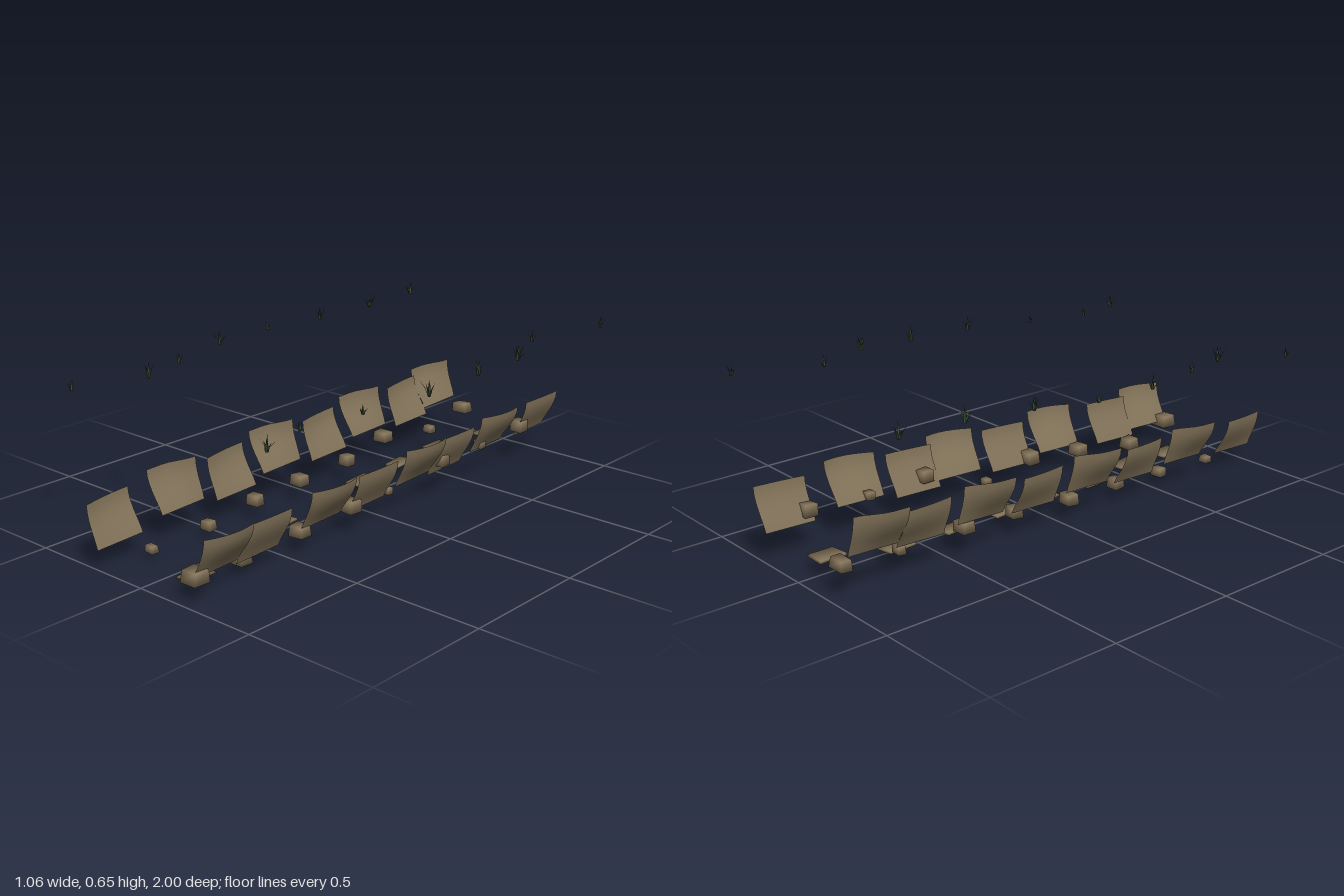
import * as THREE from 'three';
import { mergeVertices } from 'three/addons/utils/BufferGeometryUtils.js';

const mat = (name, color, side = THREE.FrontSide) => {
  const m = new THREE.MeshStandardMaterial({ color, side });
  m.name = name;
  return m;
};

// Small seeded generator for irregular stones and blades
let seed = 7;
const rand = () => (seed = (seed * 16807) % 2147483647) / 2147483647;
const jitter = (a) => (rand() * 2 - 1) * a;

// Curved sheet of earth: steep at the top, flaring towards the ditch
function bankPanel(side, z0, foot, baseY, depthAt) {
  const g = new THREE.PlaneGeometry(1, 1, 6, 6);
  const p = g.attributes.position;
  for (let i = 0; i < p.count; i++) {
    const u = p.getX(i) + 0.5, t = Math.max(0, p.getY(i) + 0.5);
    const x = foot + depthAt(u) * Math.sin(t * Math.PI / 2) ** 1.25;
    p.setXYZ(i, side * x, baseY - 0.031 * (z0 + 0.2 * u) + 0.152 * t, z0 + 0.2 * u);
  }
  g.computeVertexNormals();
  return g;
}

// Irregular block with a tapered top, its corners shaded as if rounded
function stone(w, h, d, taper, rough) {
  let g = new THREE.BoxGeometry(w, h, d);
  g.deleteAttribute('normal');
  g.deleteAttribute('uv');
  g = mergeVertices(g);
  const p = g.attributes.position;
  const normals = [];
  for (let i = 0; i < p.count; i++) {
    const [x, y, z] = [p.getX(i), p.getY(i), p.getZ(i)];
    const k = y > 0 ? taper : 1;
    const n = new THREE.Vector3(Math.sign(x), Math.sign(y), Math.sign(z)).normalize();
    normals.push(n.x, n.y, n.z);
    p.setXYZ(i, x * k + jitter(rough * w), y + jitter(rough * h), z * k + jitter(rough * d));
  }
  g.setAttribute('normal', new THREE.Float32BufferAttribute(normals, 3));
  return g;
}

// Tuft of slim pointed blades leaning outward from one root
function tuft(height, blades) {
  const pts = [];
  const turn = rand() * 6.28;
  for (let i = 0; i < blades; i++) {
    const a = turn + i * 6.283 / blades + jitter(0.4);
    const lean = i ? height * (0.3 + 0.25 * rand()) : height * 0.1;
    const h = i ? height * (0.55 + 0.4 * rand()) : height;
    const c = Math.cos(a), s = Math.sin(a), w = 0.005, r = 0.003;
    const rootL = [c * r - s * w, 0, s * r + c * w];
    const rootR = [c * r + s * w, 0, s * r - c * w];
    const midL = [c * lean * 0.4 - s * w * 0.7, h * 0.5, s * lean * 0.4 + c * w * 0.7];
    const midR = [c * lean * 0.4 + s * w * 0.7, h * 0.5, s * lean * 0.4 - c * w * 0.7];
    const tip = [c * lean, h, s * lean];
    pts.push(...rootL, ...midR, ...rootR, ...rootL, ...midL, ...midR, ...midL, ...tip, ...midR);
  }
  const g = new THREE.BufferGeometry();
  g.setAttribute('position', new THREE.Float32BufferAttribute(pts, 3));
  g.computeVertexNormals();
  return g;
}

export function createModel() {
  seed = 7;
  const group = new THREE.Group();
  const earth = mat('earth', 0x7f7057, THREE.DoubleSide);
  const rock = mat('rock', 0x88775c);
  const grass = mat('grass', 0x3c4d34, THREE.DoubleSide);

  const add = (name, geometry, material, x = 0, y = 0, z = 0, yaw = 0) => {
    const m = new THREE.Mesh(geometry, material);
    m.name = name;
    m.position.set(x, y, z);
    m.rotation.y = yaw;
    group.add(m);
  };

  // Ditch banks: four kinds of panel, each repeated along z
  const banks = [
    ['leftBankTall', 1, [-0.7, -0.25, 0.25, 0.75], 0.2, 0.104,
      (u) => 0.09 - 0.035 * ((u - 0.35) / 0.65) ** 2],
    ['leftBankLow', 1, [-1, -0.45, 0, 0.55], 0.19, 0.083,
      (u) => 0.068 - 0.01 * u * u],
    ['rightBankTall', -1, [-0.95, -0.5, 0, 0.5], 0.225, 0.126,
      (u) => 0.04 + 0.035 * THREE.MathUtils.smoothstep(u, 0, 0.65)],
    ['rightBankLow', -1, [-0.75, -0.25, 0.25, 0.8], 0.213, 0.103,
      (u) => 0.07 - 0.023 * u * u],
  ];
  for (const [name, side, starts, foot, baseY, depthAt] of banks)
    for (const z0 of starts) add(name, bankPanel(side, z0, foot, baseY, depthAt), earth);

  // Flat slabs along the ditch floor: x, y, z, width, depth, yaw
  [
    [0.008, 0.063, -0.877, 0.085, 0.105, 0.03],
    [-0.055, 0.051, -0.64, 0.085, 0.12, 0.05],
    [-0.06, 0.047, -0.39, 0.062, 0.108, 0.1],
    [-0.04, 0.043, -0.15, 0.08, 0.118, 0.07],
    [-0.008, 0.026, 0.08, 0.075, 0.108, 0.1],
    [-0.018, 0.025, 0.33, 0.068, 0.12, 0.04],
    [0.045, 0.018, 0.57, 0.08, 0.11, 0.14],
    [0.06, 0.006, 0.81, 0.075, 0.11, 0.1],
  ].forEach(([x, y, z, w, d, yaw]) =>
    add('floorSlab', stone(w, 0.009, d, 0.95, 0.05), rock, x, y, z, yaw));

  // Stones at the foot of each bank: x, y, z, width, height, depth
  [
    [-0.177, 0.117, -0.946, 0.07, 0.04, 0.047],
    [-0.156, 0.087, -0.696, 0.046, 0.03, 0.03],
    [-0.19, 0.112, -0.443, 0.064, 0.04, 0.052],
    [-0.16, 0.087, -0.193, 0.05, 0.04, 0.045],
    [-0.172, 0.073, 0.06, 0.058, 0.04, 0.048],
    [-0.16, 0.068, 0.31, 0.054, 0.038, 0.045],
    [-0.15, 0.048, 0.554, 0.048, 0.035, 0.038],
    [-0.156, 0.038, 0.813, 0.04, 0.025, 0.03],
    [0.205, 0.152, -0.82, 0.053, 0.045, 0.052],
    [0.2, 0.138, -0.565, 0.038, 0.03, 0.033],
    [0.208, 0.145, -0.31, 0.047, 0.045, 0.052],
    [0.15, 0.076, -0.066, 0.038, 0.026, 0.028],
    [0.19, 0.102, 0.185, 0.068, 0.045, 0.055],
    [0.177, 0.078, 0.43, 0.062, 0.04, 0.052],
    [0.147, 0.051, 0.686, 0.058, 0.042, 0.055],
    [0.193, 0.082, 0.935, 0.07, 0.045, 0.065],
  ].forEach(([x, y, z, w, h, d]) =>
    add('bankStone', stone(w, h, d, 0.9, 0.05), rock, x, y, z, jitter(0.1)));

  // Grass tufts above the banks: x, z, height
  [
    [-0.4, -0.86, 0.063], [-0.4, -0.6, 0.062], [-0.435, -0.34, 0.057], [-0.5, -0.11, 0.035],
    [-0.5, 0.145, 0.06], [-0.44, 0.405, 0.042], [-0.4, 0.585, 0.065], [-0.505, 0.845, 0.04],
    [0.495, -0.92, 0.043], [0.4, -0.6, 0.05], [0.495, -0.375, 0.068], [0.49, -0.15, 0.063],
    [0.495, 0.13, 0.06], [0.44, 0.405, 0.035], [0.39, 0.65, 0.038], [0.437, 0.845, 0.057],
  ].forEach(([x, z, h]) =>
    add('grassTuft', tuft(h, h > 0.05 ? 6 : 5), grass, x, 0.561 - 0.029 * z, z));

  return group;
}
